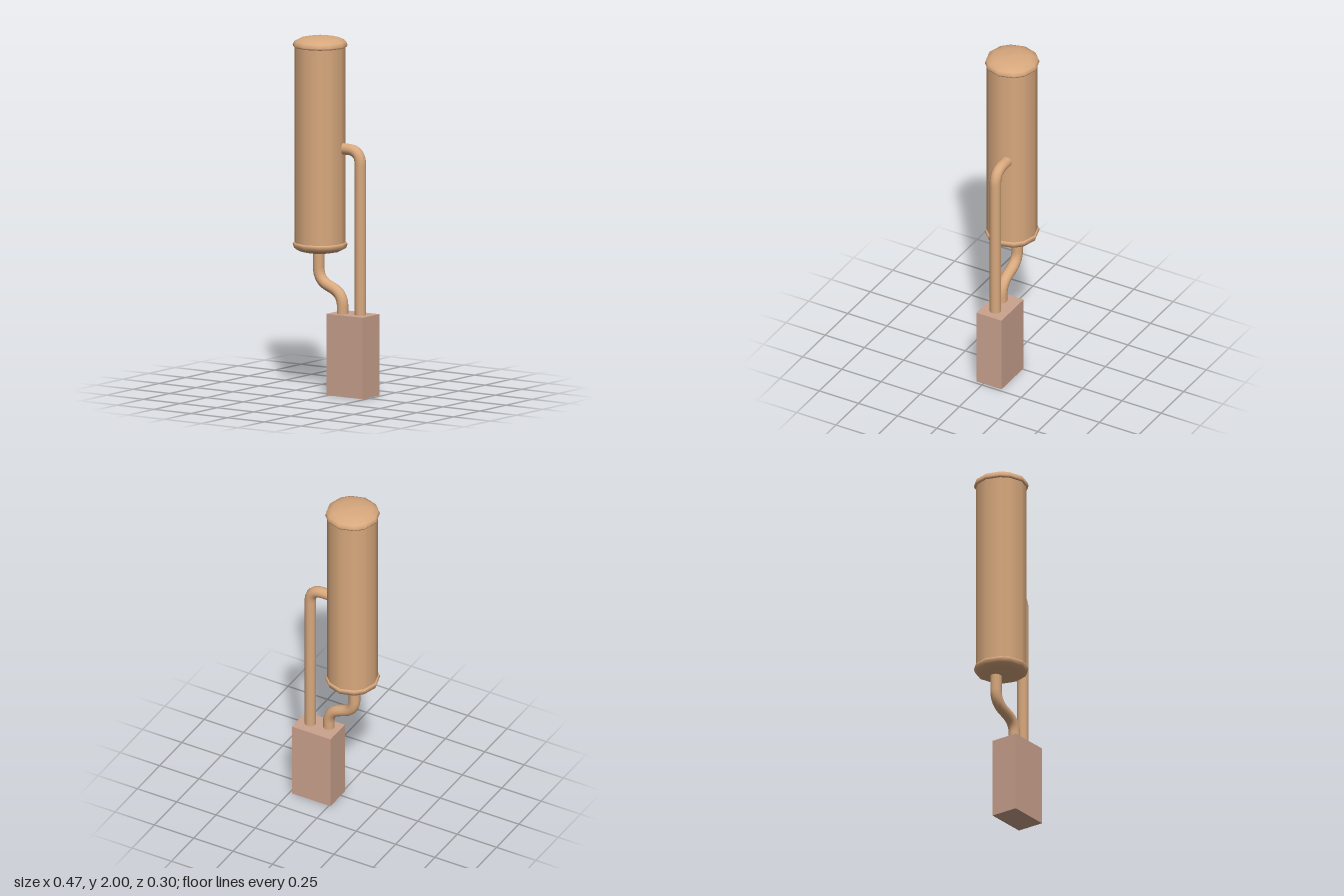
import * as THREE from 'three';

const copper = new THREE.MeshStandardMaterial({ color: 0xd9a97e });
const clay = new THREE.MeshStandardMaterial({ color: 0xcba28e });
const V = (x, y, z) => new THREE.Vector3(x, y, z);

// Twelve-sided turned part, its corners gathered slightly toward the diagonals
function turned(name, profile) {
  const geo = new THREE.LatheGeometry(profile.map(([r, y]) => new THREE.Vector2(r, y)), 12);
  const p = geo.attributes.position;
  for (let i = 0; i < p.count; i++) {
    const r = Math.hypot(p.getX(i), p.getZ(i));
    const a = Math.atan2(p.getZ(i), p.getX(i));
    const b = a + 0.07 * Math.sin(4 * a);
    p.setX(i, r * Math.cos(b));
    p.setZ(i, r * Math.sin(b));
  }
  const mesh = new THREE.Mesh(geo, copper);
  mesh.name = name;
  return mesh;
}

// Round pipe along straight runs with rounded corners
function pipe(name, points, bend) {
  const path = new THREE.CurvePath();
  let from = points[0];
  for (let i = 1; i < points.length - 1; i++) {
    const c = points[i];
    const toward = (q) => c.clone().add(q.clone().sub(c).setLength(bend));
    const a = toward(points[i - 1]), b = toward(points[i + 1]);
    path.add(new THREE.LineCurve3(from, a));
    path.add(new THREE.QuadraticBezierCurve3(a, c, b));
    from = b;
  }
  path.add(new THREE.LineCurve3(from, points[points.length - 1]));
  const mesh = new THREE.Mesh(new THREE.TubeGeometry(path, 64, 0.032, 12), copper);
  mesh.name = name;
  return mesh;
}

export function createModel() {
  const model = new THREE.Group();

  // Upright tank with a domed, lipped cap at each end
  const tank = new THREE.Group();
  tank.name = 'tank';
  tank.position.set(-0.085, 1.392, 0);
  tank.add(turned('tankBody', [[0.141, -0.56], [0.141, 0.56]]));
  const dome = [[0.135, 0.546], [0.147, 0.548], [0.152, 0.558], [0.144, 0.579], [0.115, 0.594], [0.065, 0.604], [0, 0.608]];
  tank.add(turned('topCap', dome));
  tank.add(turned('bottomCap', dome.map(([r, y]) => [r, -y]).reverse()));
  model.add(tank);

  // Box the pipes rise from
  const base = new THREE.Mesh(new THREE.BoxGeometry(0.245, 0.456, 0.16), clay);
  base.name = 'baseBox';
  base.position.set(0.112, 0.228, -0.036);
  model.add(base);

  // Tall pipe into the tank's side, and crooked pipe into its bottom
  model.add(pipe('sidePipe', [V(0.163, 0.44, -0.036), V(0.163, 1.375, -0.036), V(0, 1.375, -0.036)], 0.08));
  model.add(pipe('bottomPipe', [V(0.057, 0.44, -0.015), V(0.057, 0.565, -0.015),
    V(-0.108, 0.63, -0.019), V(-0.108, 0.82, -0.019)], 0.07));
  return model;
}
